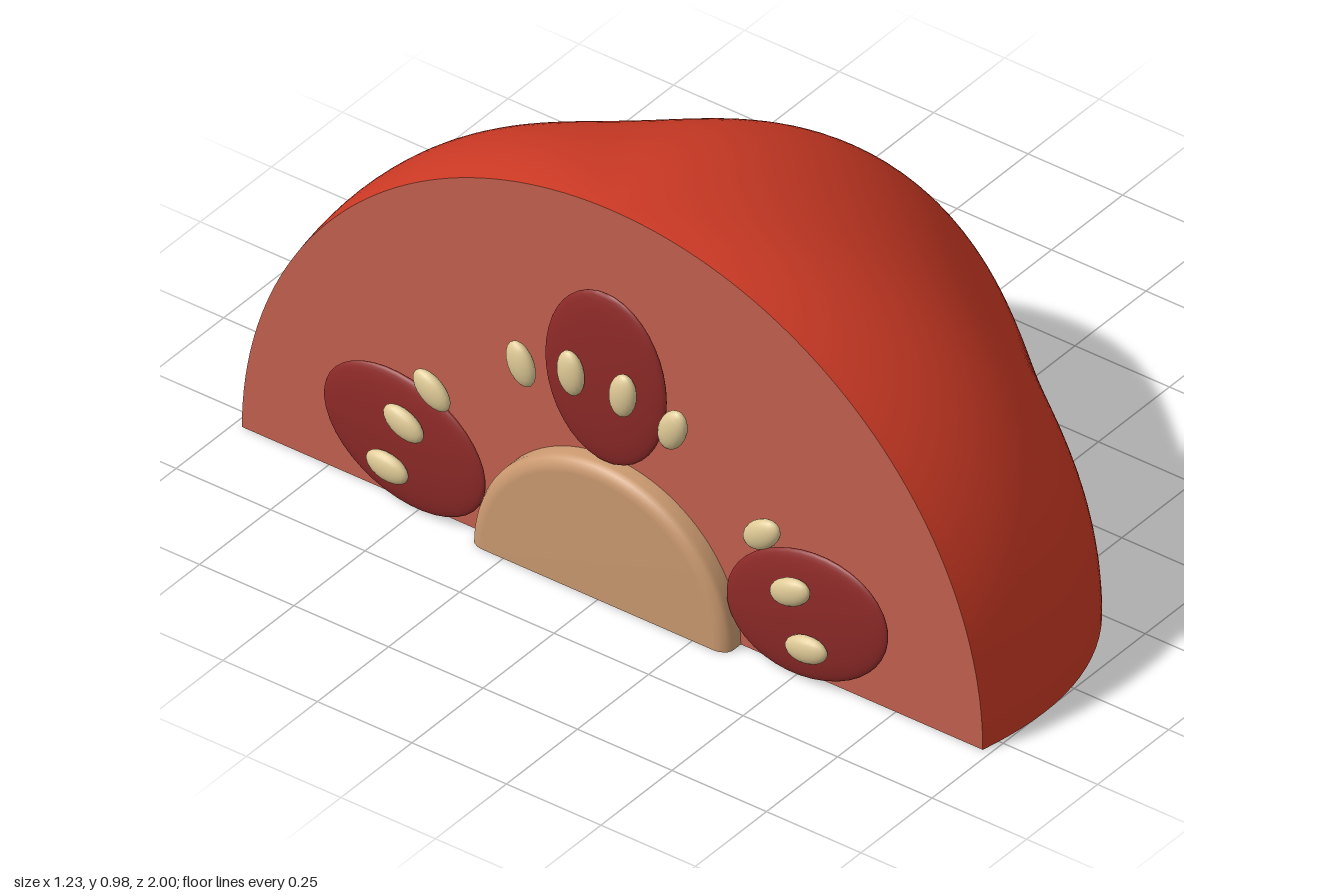
import * as THREE from 'three';

const CUT = -0.545; // x of the vertical cut
const R = 0.98; // radius of the cut face

const mat = (name, color, side = THREE.FrontSide) => {
  const m = new THREE.MeshStandardMaterial({ color, side });
  m.name = name;
  return m;
};

export function createModel() {
  const group = new THREE.Group();
  const skinRed = mat('skin red', 0xce3a25);
  const fleshRed = mat('flesh red', 0xc4614f);
  const pocketRed = mat('pocket dark red', 0x8e2a28);
  const coreTan = mat('core tan', 0xcb9a70);
  const seedCream = mat('seed cream', 0xdfca96);

  const add = (name, geometry, material, x = CUT, y = 0, z = 0) => {
    const mesh = new THREE.Mesh(geometry, material);
    mesh.name = name;
    mesh.position.set(x, y, z);
    group.add(mesh);
    return mesh;
  };

  // Five-lobed horizontal swelling around the vertical axis
  const lobe = (a) => 1 + 0.05 * Math.cos(5 * a);
  const STRETCH = 1.127;

  // Skin: quarter of a sphere, swollen into lobes
  const skin = new THREE.SphereGeometry(R, 96, 48, Math.PI / 2, Math.PI, 0, Math.PI / 2);
  const p = skin.attributes.position;
  for (let i = 0; i < p.count; i++) {
    const x = p.getX(i), z = p.getZ(i);
    const k = lobe(Math.atan2(z, x));
    p.setX(i, x * k * STRETCH);
    p.setZ(i, z * k);
  }
  skin.computeVertexNormals();
  add('skin', skin, skinRed);

  // Flat underside following the lobed outline
  const outline = [];
  for (let i = 0; i <= 96; i++) {
    const a = -Math.PI / 2 + (Math.PI * i) / 96;
    const r = R * lobe(a);
    outline.push(new THREE.Vector2(r * Math.cos(a) * STRETCH, r * Math.sin(a)));
  }
  add('undersideCut', new THREE.ShapeGeometry(new THREE.Shape(outline)).rotateX(Math.PI / 2), fleshRed);

  // Upright cut face
  add('sideCut', new THREE.CircleGeometry(R, 96, 0, Math.PI).rotateY(-Math.PI / 2), fleshRed);

  // Core: half disc with a softened rim, closed underneath
  const profile = [[0.34, 0], [0.34, 0.03], [0.334, 0.042], [0.32, 0.05], [0.305, 0.052], [0, 0.052]]
    .map(([r, h]) => new THREE.Vector2(r, h));
  add('core', new THREE.LatheGeometry(profile, 48, 0, Math.PI).rotateZ(Math.PI / 2), coreTan);
  const section = [
    ...profile.map((v) => new THREE.Vector2(-v.y, v.x)),
    ...profile.slice(0, -1).reverse().map((v) => new THREE.Vector2(-v.y, -v.x)),
  ];
  add('coreUnderside', new THREE.ShapeGeometry(new THREE.Shape(section)).rotateX(Math.PI / 2), coreTan);

  // Flattened ellipsoid set on the cut face, long axis pointing away from the core
  const radial = (name, material, x, dist, deg, thick, long, wide, seg) => {
    const a = THREE.MathUtils.degToRad(deg);
    const geo = new THREE.SphereGeometry(1, seg, seg / 2).scale(thick, long, wide);
    const mesh = add(name, geo, material, x, dist * Math.sin(a), dist * Math.cos(a));
    mesh.rotation.x = Math.PI / 2 - a;
  };

  // Seed pockets
  for (const deg of [18, 90, 162]) {
    radial('seedPocket', pocketRed, -0.567, 0.56, deg, 0.023, 0.218, 0.16, 40);
  }

  // Seeds, mirrored about the middle
  for (const deg of [11.2, 25.2, 39.4, 69.2, 83]) {
    for (const d of [deg, 180 - deg]) {
      radial('seed', seedCream, -0.6, 0.565, d, 0.02, 0.055, 0.034, 20);
    }
  }

  return group;
}
